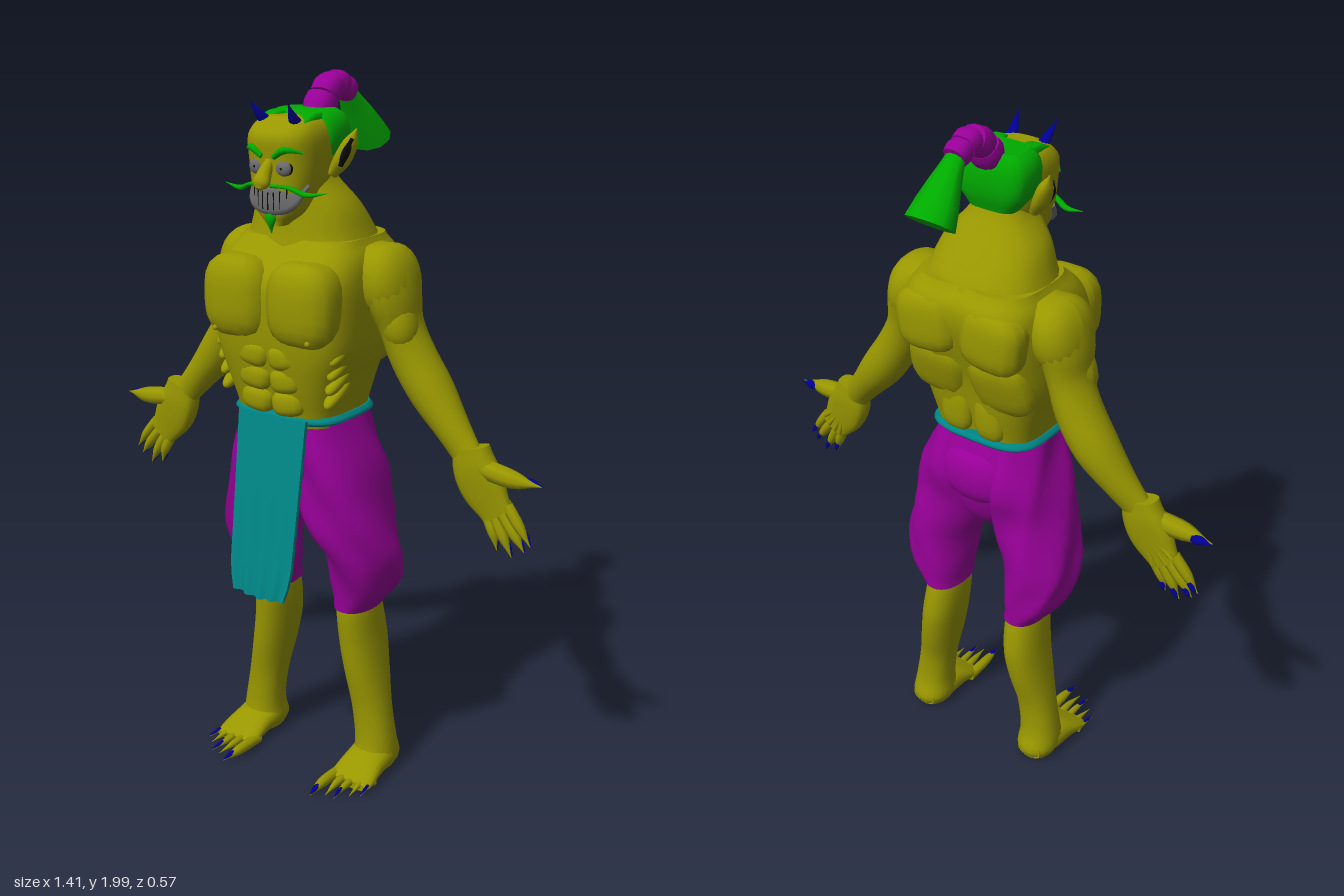
import * as THREE from 'three';

const mat = (name, color) => Object.assign(new THREE.MeshStandardMaterial({ color }), { name });

export function createModel() {
  const root = new THREE.Group();
  root.name = 'ogreWarrior';
  const skin = mat('olive skin', 0x999700);
  const cloth = mat('purple cloth', 0x990099);
  const teal = mat('teal sash', 0x008888);
  const hair = mat('green hair', 0x00aa00);
  const claw = mat('blue claw', 0x000099);
  const grey = mat('grey teeth and eyes', 0x6c6c6c);
  const black = mat('black', 0x0a0a0a);
  const X = new THREE.Vector3(1, 0, 0), Y = new THREE.Vector3(0, 1, 0), Z = new THREE.Vector3(0, 0, 1);

  const add = (name, geo, material) => {
    const m = new THREE.Mesh(geo, material);
    m.name = name;
    root.add(m);
    return m;
  };

  // Smooth skin over cross-sections [x, y, z, radius along axis, other radius].
  // opts: axis, fixed direction, sides n, squareness p, steps per row, warp(v, angle)
  function loft(rows, { axis = X, dir = null, n = 16, p = 2, steps = 4, warp = null } = {}) {
    const path = new THREE.CatmullRomCurve3(rows.map(r => new THREE.Vector3(r[0], r[1], r[2])), false, 'catmullrom');
    const size = new THREE.SplineCurve(rows.map(r => new THREE.Vector2(r[3], r[4])));
    const count = (rows.length - 1) * steps, pos = [], idx = [];
    const pw = c => Math.sign(c) * Math.abs(c) ** (2 / p);
    for (let i = 0; i <= count; i++) {
      const c = path.getPoint(i / count), s = size.getPoint(i / count);
      const t = dir || path.getTangent(i / count);
      const b = t.clone().cross(axis).normalize(), a = b.clone().cross(t).normalize();
      for (let j = 0; j < n; j++) {
        const q = j / n * Math.PI * 2;
        const v = c.clone().addScaledVector(a, pw(Math.cos(q)) * Math.max(s.x, 0.0008))
          .addScaledVector(b, pw(Math.sin(q)) * Math.max(s.y, 0.0008));
        if (warp) warp(v, q);
        pos.push(v.x, v.y, v.z);
        if (i < count) {
          const k = i * n + j, l = i * n + (j + 1) % n;
          idx.push(k, l, l + n, k, l + n, k + n);
        }
      }
    }
    for (const [i, flipped] of [[0, true], [count, false]]) { // end caps
      const base = pos.length / 3, c = path.getPoint(i / count);
      pos.push(...pos.slice(i * n * 3, (i + 1) * n * 3), c.x, c.y, c.z);
      for (let j = 0; j < n; j++) {
        const k = base + j, l = base + (j + 1) % n;
        idx.push(base + n, flipped ? l : k, flipped ? k : l);
      }
    }
    const g = new THREE.BufferGeometry();
    g.setAttribute('position', new THREE.Float32BufferAttribute(pos, 3));
    g.setIndex(idx);
    g.computeVertexNormals();
    return g;
  }

  // Rounded muscle mass; p above 2 makes it boxier.
  function blob(name, c, r, p = 2, material = skin, rotZ = 0, rotX = 0) {
    const g = new THREE.SphereGeometry(1, 20, 14), a = g.attributes.position;
    for (let i = 0; i < a.count; i++) {
      const v = [a.getX(i), a.getY(i), a.getZ(i)];
      const k = v.reduce((s, e) => s + Math.abs(e) ** p, 0) ** (-1 / p);
      a.setXYZ(i, v[0] * k * r[0], v[1] * k * r[1], v[2] * k * r[2]);
    }
    g.computeVertexNormals();
    const m = add(name, g, material);
    m.position.set(...c);
    m.rotation.set(rotX, 0, rotZ);
  }
  const flip = (s, rows) => rows.map(([x, ...r]) => [x * s, ...r]);

  // Tapered digit; with a lift it gets a blue nail on that side
  function digit(name, a, mid, tip, r, axis, lift) {
    add(name, loft([[...a, r, r], [...mid, r * 0.9, r * 0.9], [...tip, 0.001, 0.001]], { axis, n: 8 }), skin);
    if (!lift) return;
    const at = k => mid.map((m, i) => m + (tip[i] - m) * k + lift[i] * (1 - k * 0.5));
    add(name + 'Nail', loft([[...at(0.3), r * 0.4, r * 0.4], [...at(0.6), r * 0.45, r * 0.45], [...at(1), 0.001, 0.001]], { axis, n: 8 }), claw);
  }

  // Torso, with a groove down the breastbone and the spine
  add('torso', loft([
    [0, 1.09, 0.065, 0.155, 0.135], [0, 1.2, 0.068, 0.18, 0.16], [0, 1.3, 0.068, 0.21, 0.18],
    [0, 1.4, 0.055, 0.215, 0.2], [0, 1.48, 0.042, 0.212, 0.208], [0, 1.54, 0.02, 0.2, 0.182], [0, 1.585, 0.012, 0.175, 0.14],
  ], { dir: Y, n: 40, p: 3.6, warp: v => { v.z -= Math.sign(v.z) * 0.016 * Math.exp(-((v.x / 0.025) ** 2)); } }), skin);
  add('neck', loft([[0, 1.55, 0.015, 0.185, 0.145], [0, 1.6, 0.022, 0.168, 0.13], [0, 1.67, 0.042, 0.14, 0.102],
    [0, 1.74, 0.065, 0.085, 0.078], [0, 1.8, 0.08, 0.07, 0.07]], { dir: Y, n: 20, p: 2.5 }), skin);
  for (const s of [1, -1]) {
    blob('pectoral', [0.103 * s, 1.43, 0.2], [0.1, 0.112, 0.073], 3.2);
    blob('nipple', [0.15 * s, 1.345, 0.258], [0.008, 0.008, 0.008]);
    [1.285, 1.22, 1.155].forEach((y, i) => blob('abdominal', [0.05 * s, y, 0.211 - i * 0.008], [0.05, 0.036, 0.036], 3, skin, 0.15 * s));
    for (let i = 0; i < 4; i++) blob('rib', [(0.184 - i * 0.005) * s, 1.31 - i * 0.04, 0.15], [0.02, 0.017, 0.06], 2.4, skin, 0, 0.5);
    blob('shoulderBlade', [0.103 * s, 1.465, -0.115], [0.092, 0.085, 0.058], 3.6, skin, -0.1 * s);
    blob('lat', [0.1 * s, 1.315, -0.07], [0.092, 0.095, 0.052], 3.4, skin, 0.15 * s, -0.3);
    blob('lowerBack', [0.055 * s, 1.19, -0.06], [0.05, 0.075, 0.034], 3);
  }

  // Arms and hands
  for (const s of [1, -1]) {
    add('arm', loft(flip(s, [
      [0.17, 1.55, 0, 0.06, 0.03], [0.215, 1.51, 0, 0.095, 0.07], [0.245, 1.44, 0, 0.095, 0.066], [0.265, 1.36, -0.008, 0.075, 0.054],
      [0.3, 1.275, -0.015, 0.07, 0.06], [0.36, 1.185, -0.018, 0.066, 0.06], [0.43, 1.1, -0.01, 0.048, 0.047], [0.49, 1.03, 0, 0.03, 0.042],
    ]), { axis: Z, n: 18 }), skin);
    blob('deltoid', [0.232 * s, 1.475, 0], [0.07, 0.098, 0.1], 2.3, skin, 0.2 * s);
    blob('biceps', [0.272 * s, 1.37, 0.015], [0.048, 0.075, 0.055], 2.2, skin, 0.3 * s);
    add('palm', loft(flip(s, [[0.492, 1.064, 0, 0.032, 0.05], [0.507, 1.01, 0, 0.034, 0.063], [0.535, 0.955, 0, 0.028, 0.065], [0.58, 0.89, 0, 0.018, 0.046]]),
      { axis: Z, n: 16, p: 2.8 }), skin);
    const back = [0, 0, -0.011];
    digit('thumb', [0.535 * s, 1.015, 0.005], [0.625 * s, 1.005, 0.012], [0.705 * s, 1.002, 0.01], 0.028, Z, back);
    [[0.605, 0.925, 0.645, 0.875, 0.68, 0.828], [0.59, 0.9, 0.633, 0.848, 0.663, 0.808],
      [0.57, 0.885, 0.6, 0.835, 0.627, 0.785], [0.55, 0.88, 0.57, 0.84, 0.583, 0.795]].forEach(([a, b, c, d, e, f]) => {
      digit('finger', [a * s, b, 0], [c * s, d, 0.004], [e * s, f, 0.006], 0.016, Z, back);
      // Raised tendon on the back of the hand
      add('tendon', loft([[0.5 * s, 1.01, -0.025, 0.008, 0.007], [a * s, b, -0.014, 0.008, 0.007]], { axis: Z, n: 6 }), skin);
    });
  }

  // Baggy trousers with folds that fade out at the hem
  const fold = (v, q) => {
    const k = 0.009 * Math.sin(4 * q + v.y * 20) * Math.min(1, (v.y - 0.52) * 8);
    v.x += Math.cos(q) * k;
    v.z -= Math.sin(q) * k;
  };
  add('trouserSeat', loft([[0, 0.77, 0.03, 0.02, 0.03], [0, 0.84, 0.035, 0.1, 0.1], [0, 0.95, 0.04, 0.16, 0.14], [0, 1.03, 0.048, 0.165, 0.145], [0, 1.11, 0.06, 0.158, 0.135]],
    { dir: Y, n: 24, p: 2.4 }), cloth);
  blob('seatFold', [0, 0.985, -0.045], [0.115, 0.09, 0.07], 2.5, cloth);
  for (const s of [1, -1]) {
    add('trouserLeg', loft(flip(s, [[0.145, 0.52, -0.002, 0.058, 0.09], [0.168, 0.59, 0.003, 0.086, 0.1], [0.176, 0.69, 0.022, 0.103, 0.114],
      [0.147, 0.78, 0.04, 0.113, 0.132], [0.125, 0.87, 0.046, 0.111, 0.138], [0.113, 0.97, 0.042, 0.1, 0.146], [0.085, 1.1, 0.06, 0.08, 0.13]]),
    { dir: Y, n: 28, p: 2.2, warp: (v, q) => fold(v, s > 0 ? q : Math.PI - q) }), cloth);

    // Lower leg, foot and clawed toes
    add('shin', loft(flip(s, [[0.204, 0.008, -0.012, 0.05, 0.066], [0.204, 0.04, -0.014, 0.063, 0.074], [0.203, 0.1, -0.01, 0.059, 0.06],
      [0.188, 0.2, -0.01, 0.056, 0.06], [0.167, 0.31, -0.014, 0.056, 0.08], [0.152, 0.41, -0.015, 0.056, 0.09], [0.145, 0.505, -0.004, 0.053, 0.086], [0.145, 0.55, 0, 0.046, 0.075]]),
    { dir: Y, n: 18, p: 2.2 }), skin);
    add('foot', loft(flip(s, [[0.205, 0.036, -0.075, 0.04, 0.028], [0.205, 0.045, -0.01, 0.062, 0.042], [0.207, 0.038, 0.06, 0.065, 0.035],
      [0.209, 0.022, 0.12, 0.07, 0.02], [0.21, 0.016, 0.145, 0.062, 0.012]]), { dir: Z, n: 18, p: 2.4 }), skin);
    [[0.152, 0.262, 0.016], [0.187, 0.235, 0.012], [0.215, 0.235, 0.011], [0.245, 0.2, 0.011], [0.27, 0.18, 0.01]].forEach(([x, z, r], i) =>
      digit('toe', [x * s, 0.018, 0.1], [x * s, 0.022, z - 0.065], [(x + 0.006) * s, 0.018, z], r, X, i % 2 ? null : [0, 0.006, 0]));
  }

  // Sash and hanging front panel, rippled towards its rounded hem
  add('sash', loft([[0, 1.098, 0.062, 0.165, 0.143], [0, 1.108, 0.062, 0.176, 0.15], [0, 1.122, 0.062, 0.165, 0.143]], { dir: Y, n: 32, p: 3.4, steps: 2 }), teal);
  const panel = new THREE.BoxGeometry(1, 1, 0.012, 28, 12, 1), pa = panel.attributes.position;
  for (let i = 0; i < pa.count; i++) {
    const u = pa.getX(i), k = 0.5 - pa.getY(i);
    const w = 0.222 - 0.02 * k - 0.8 * Math.max(0, k - 0.8) ** 2;
    pa.setXYZ(i, u * w, 1.115 - k * (0.507 + 0.008 * Math.cos(u * 4)), 0.208 + 0.068 * k + pa.getZ(i) + 0.006 * k ** 4 * Math.cos(u * 26));
  }
  panel.computeVertexNormals();
  add('frontPanel', panel, teal);

  // Head and face
  add('head', loft([[0, 1.625, 0.18, 0.028, 0.025], [0, 1.66, 0.155, 0.062, 0.058], [0, 1.72, 0.125, 0.088, 0.09], [0, 1.79, 0.11, 0.1, 0.108],
    [0, 1.85, 0.11, 0.1, 0.112], [0, 1.885, 0.1, 0.085, 0.09], [0, 1.897, 0.095, 0.06, 0.07]], { dir: Y, n: 24, p: 2.8 }), skin);
  add('nose', loft([[0, 1.79, 0.21, 0.012, 0.012], [0, 1.765, 0.23, 0.018, 0.018], [0, 1.738, 0.248, 0.024, 0.018], [0, 1.725, 0.257, 0.01, 0.007]], { n: 12 }), skin);
  add('teeth', loft([[-0.085, 1.73, 0.16, 0.007, 0.007], [-0.05, 1.7, 0.197, 0.012, 0.034], [0, 1.69, 0.208, 0.012, 0.038],
    [0.05, 1.7, 0.197, 0.012, 0.034], [0.085, 1.73, 0.16, 0.007, 0.007]], { axis: Z, n: 12, p: 3 }), grey);
  for (let i = -3; i <= 3; i++) {
    const gap = add('toothGap', new THREE.BoxGeometry(0.002, 0.045, 0.004), black);
    gap.position.set(i * 0.017, 1.69 + i * i * 0.0012, 0.2195 - i * i * 0.0013);
  }
  add('goatee', loft([[0, 1.66, 0.2, 0.024, 0.014], [0, 1.64, 0.208, 0.015, 0.012], [0, 1.605, 0.205, 0.001, 0.001]], { n: 8 }), hair);
  for (const s of [1, -1]) {
    blob('eyeRim', [0.042 * s, 1.775, 0.204], [0.0255, 0.022, 0.012], 2, black);
    blob('eye', [0.042 * s, 1.775, 0.2085], [0.0235, 0.0205, 0.012], 2, grey);
    blob('pupil', [0.042 * s, 1.775, 0.2185], [0.004, 0.004, 0.003], 2, black);
    add('eyebrow', loft(flip(s, [[0.018, 1.802, 0.218, 0.01, 0.007], [0.05, 1.822, 0.215, 0.012, 0.01], [0.088, 1.814, 0.187, 0.004, 0.003]]), { axis: Z, n: 8 }), hair);
    add('moustache', loft(flip(s, [[0.012, 1.73, 0.223, 0.008, 0.005], [0.06, 1.728, 0.212, 0.01, 0.005], [0.105, 1.712, 0.198, 0.009, 0.007], [0.16, 1.72, 0.19, 0.001, 0.001]]),
      { axis: Z, n: 8 }), hair);
    add('ear', loft(flip(s, [[0.093, 1.748, 0.07, 0.018, 0.014], [0.118, 1.785, 0.06, 0.03, 0.022], [0.138, 1.83, 0.05, 0.026, 0.018], [0.152, 1.865, 0.044, 0.002, 0.002]]),
      { axis: Z, n: 10 }), skin);
    add('innerEar', loft(flip(s, [[0.125, 1.772, 0.075, 0.012, 0.006], [0.138, 1.805, 0.07, 0.019, 0.01], [0.149, 1.84, 0.056, 0.012, 0.005]]), { axis: Z, n: 8 }), black);
    add('horn', loft(flip(s, [[0.046, 1.872, 0.15, 0.018, 0.018], [0.052, 1.9, 0.182, 0.012, 0.012], [0.06, 1.937, 0.213, 0.001, 0.001]]), { n: 10 }), claw);
    add('hairLock', loft(flip(s, [[0.05, 1.885, 0.06, 0.03, 0.022], [0.055, 1.889, 0.12, 0.024, 0.016], [0.057, 1.876, 0.16, 0.02, 0.012]]),
      { dir: Z, n: 12, p: 3.4 }), hair);
  }

  // Hair cap, bound topknot and flared tail
  add('hairCap', loft([[0, 1.755, 0.035, 0.07, 0.045], [0, 1.8, 0.04, 0.103, 0.066], [0, 1.86, 0.042, 0.11, 0.068], [0, 1.895, 0.045, 0.095, 0.06], [0, 1.908, 0.047, 0.075, 0.05]],
    { dir: Y, n: 20, p: 3.6, steps: 2 }), hair);
  const knot = new THREE.CatmullRomCurve3([[1.89, 0.0], [1.93, -0.025], [1.96, -0.068], [1.952, -0.105], [1.935, -0.14]].map(([y, z]) => new THREE.Vector3(0, y, z)));
  for (let i = 0; i < 4; i++) {
    const r = 0.044 - i * 0.003;
    const ring = [0, 0.5, 1].map((k, j) => [...knot.getPoint((i + k) / 4).toArray(), j === 1 ? r : r - 0.004, (j === 1 ? r : r - 0.004) * 0.95]);
    add('topknotBand', loft(ring, { n: 14, p: 2.5, steps: 2 }), cloth);
  }
  add('hairTail', loft([[0, 1.945, -0.125, 0.024, 0.018], [0, 1.88, -0.18, 0.045, 0.034], [0, 1.8, -0.24, 0.07, 0.05]], { n: 10, p: 2.2, steps: 2 }), hair);

  return root;
}
